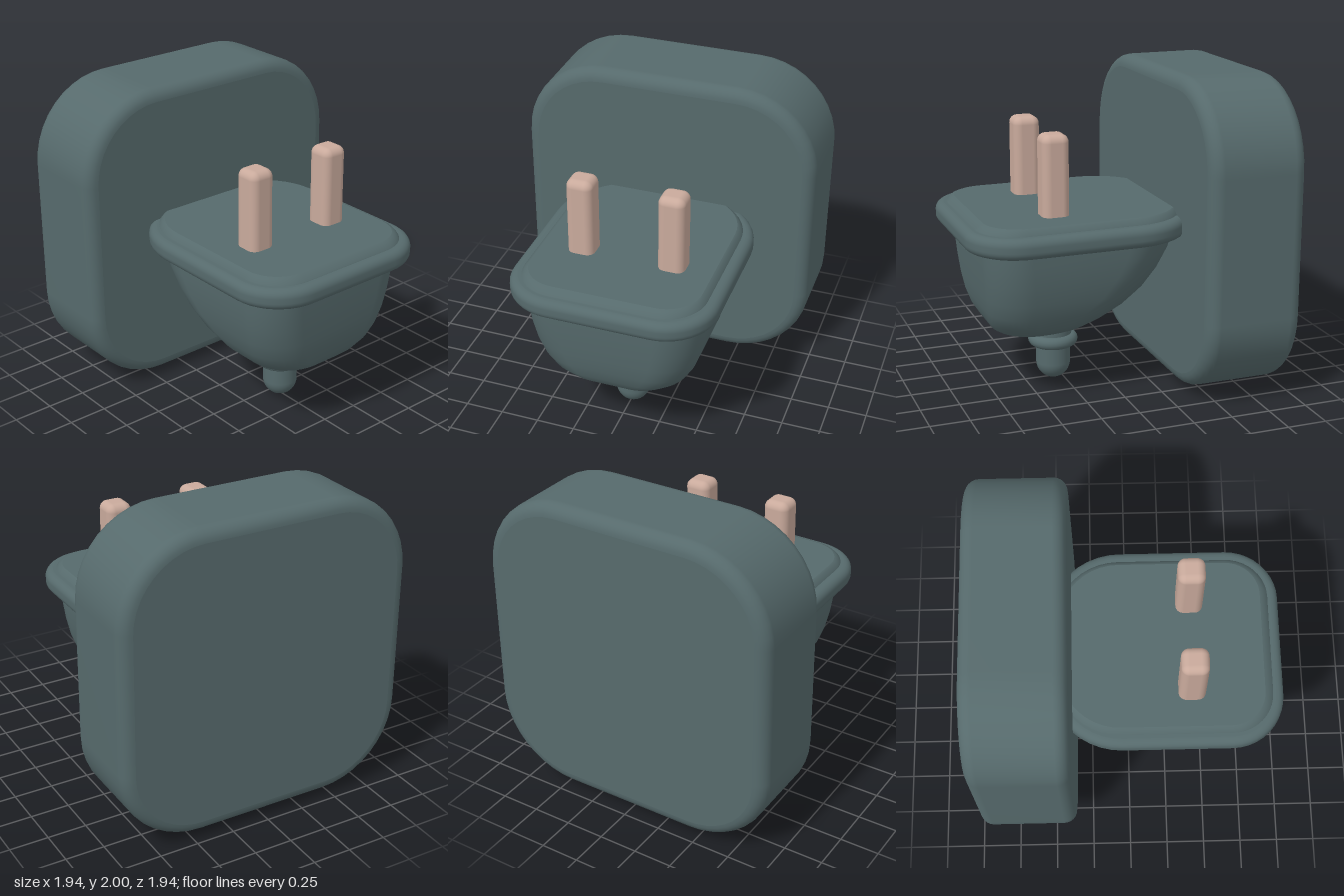
import * as THREE from 'three';
import { RoundedBoxGeometry } from 'three/addons/geometries/RoundedBoxGeometry.js';

const CORNER = 10; // steps per rounded corner

// Rounded rectangle in the xz plane with separate radii at its -x and +x ends
function ring([y, xl, xr, hz, rl, rr]) {
  const fit = Math.min(1, (xr - xl) / (rl + rr));
  const a = Math.min(rl * fit, hz), b = Math.min(rr * fit, hz);
  const corners = [
    [xr - b, hz - b, b], [xl + a, hz - a, a],
    [xl + a, -hz + a, a], [xr - b, -hz + b, b],
  ];
  const pts = [];
  corners.forEach(([cx, cz, r], k) => {
    for (let i = 0; i <= CORNER; i++) {
      const t = (k + i / CORNER) * Math.PI / 2;
      pts.push([cx + r * Math.cos(t), y, cz + r * Math.sin(t)]);
    }
  });
  return pts;
}

// Smooth skin through rows listed bottom to top, closed by flat caps
function loft(rows) {
  const rings = rows.map(ring), n = rings[0].length;
  const pos = [], index = [];
  rings.forEach(r => r.forEach(p => pos.push(...p)));
  for (let i = 0; i < rings.length - 1; i++) {
    for (let j = 0; j < n; j++) {
      const a = i * n + j, b = i * n + (j + 1) % n;
      index.push(a, a + n, b, b, a + n, b + n);
    }
  }
  [0, rows.length - 1].forEach(i => {
    const start = pos.length / 3;
    rings[i].forEach(p => pos.push(...p));
    pos.push((rows[i][1] + rows[i][2]) / 2, rows[i][0], 0);
    for (let j = 0; j < n; j++) {
      const a = start + j, b = start + (j + 1) % n;
      if (i === 0) index.push(start + n, a, b);
      else index.push(start + n, b, a);
    }
  });
  const g = new THREE.BufferGeometry();
  g.setAttribute('position', new THREE.Float32BufferAttribute(pos, 3));
  g.setIndex(index);
  g.computeVertexNormals();
  return g;
}

// Rows of a slab whose top and bottom edges are rounded by radius e
function slabRows(y0, y1, xl, xr, hz, rl, rr, e) {
  const rows = [];
  for (let s = 0; s < 2; s++) {
    for (let i = 0; i <= 6; i++) {
      const t = (i / 6 + s) * Math.PI / 2;
      const d = e * (1 - Math.sin(t));
      const y = s ? y1 - e - e * Math.cos(t) : y0 + e - e * Math.cos(t);
      rows.push([y, xl + d, xr - d, hz - d, rl - d, rr - d]);
    }
  }
  return rows;
}

export function createModel() {
  const slate = new THREE.MeshStandardMaterial({ color: 0x566a6c });
  slate.name = 'slate grey';
  const copper = new THREE.MeshStandardMaterial({ color: 0xc9aa9c });
  copper.name = 'pale copper';

  const model = new THREE.Group();
  model.name = 'plugFixture';
  const add = (name, geometry, material, x = 0, y = 0, z = 0) => {
    const m = new THREE.Mesh(geometry, material);
    m.name = name;
    m.position.set(x, y, z);
    model.add(m);
    return m;
  };

  // Thick rounded back plate, lofted upright and then turned on its side
  const plate = loft(slabRows(-0.31, 0.31, -0.98, 0.98, 0.97, 0.53, 0.53, 0.08));
  plate.rotateZ(-Math.PI / 2);
  add('backPlate', plate, slate, -0.66, 1.02, 0);

  // Bowl-shaped body: y, left x, right x, half depth, left and right corner radii
  const profile = [
    [0.38, 0.27, 0.62, 0.12], [0.387, 0.22, 0.67, 0.21], [0.405, 0.15, 0.715, 0.3],
    [0.44, 0.06, 0.755, 0.38], [0.5, -0.03, 0.79, 0.445], [0.58, -0.135, 0.815, 0.49],
    [0.68, -0.235, 0.832, 0.525], [0.8, -0.32, 0.845, 0.55], [0.92, -0.38, 0.855, 0.565],
    [1.03, -0.41, 0.86, 0.57],
  ];
  add('bowl', loft(profile.map(p => [...p, 0.4, 0.25])), slate, 0, 0, -0.01);

  // Rounded rim and the bevelled face on top of it
  add('rim', loft(slabRows(1.01, 1.14, -0.5, 0.97, 0.655, 0.46, 0.33, 0.05)), slate, 0, 0, -0.01);
  add('topFace', loft([
    [1.13, -0.45, 0.905, 0.585, 0.4, 0.26],
    [1.145, -0.45, 0.9, 0.58, 0.4, 0.26],
    [1.17, -0.43, 0.87, 0.56, 0.38, 0.23],
    [1.178, -0.42, 0.85, 0.545, 0.37, 0.22],
  ]), slate, 0, 0, -0.01);

  // Two upright contact pins
  [['leftPin', 0.28], ['rightPin', -0.3]].forEach(([name, z]) =>
    add(name, new RoundedBoxGeometry(0.17, 0.58, 0.17, 5, 0.05), copper, 0.395, 1.39, z));

  // Neck, collar and rounded tip under the bowl
  add('neck', new THREE.CylinderGeometry(0.12, 0.12, 0.16, 32), slate, 0.31, 0.36, -0.005);
  const collar = [[0, 0.225], [0.13, 0.225]];
  for (let i = 0; i <= 8; i++) {
    const t = (i / 8 - 0.5) * Math.PI;
    collar.push([0.12 + 0.04 * Math.cos(t), 0.265 + 0.04 * Math.sin(t)]);
  }
  collar.splice(0, 2, [0, 0.225]);
  collar.push([0, 0.305]);
  add('collar', new THREE.LatheGeometry(collar.map(p => new THREE.Vector2(...p)), 32),
    slate, 0.31, 0, -0.005);
  const tip = [];
  for (let i = 0; i <= 10; i++) {
    const t = i / 10 * Math.PI / 2;
    tip.push(new THREE.Vector2(0.11 * Math.sin(t), 0.11 - 0.11 * Math.cos(t)));
  }
  tip.push(new THREE.Vector2(0.11, 0.26));
  add('tip', new THREE.LatheGeometry(tip, 32), slate, 0.31, 0, -0.005);

  return model;
}
